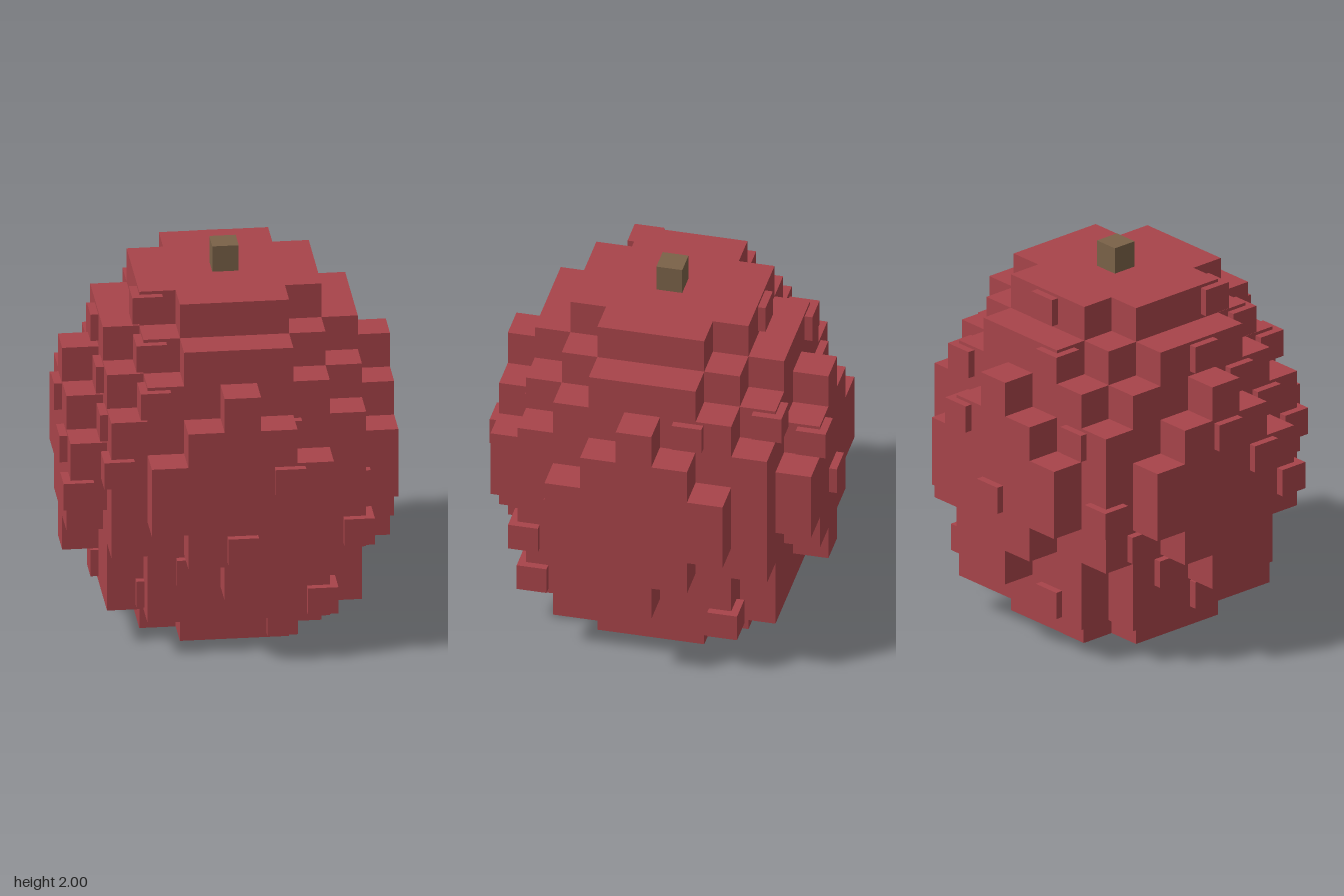
import * as THREE from 'three';

const CELL = 0.186;
const CX = 0.0175; // body sits slightly right of centre

// For each layer, bottom to top: half-width in cells for each row |z| = 0, 1, 2...
const END = [2, 2, 1], NEAR = [4, 3, 3, 2, 0], INNER = [4, 4, 3, 3, 1], MID = [4, 4, 4, 3, 2];
const LAYERS = [END, [3, 3, 3, 2], NEAR, INNER, MID, MID, INNER, NEAR, [3, 3, 2, 1], END];

const filled = (x, y, z) => {
  const half = LAYERS[y][Math.abs(z)];
  return half !== undefined && Math.abs(x) <= half;
};

// Stepped outline of one layer, extruded to one cell high
function layerGeometry(rows) {
  const m = rows.length - 1;
  const side = [];
  for (let z = -m; z <= m; z++) {
    const half = rows[Math.abs(z)];
    const x = (half + 0.5) * CELL;
    if (rows[Math.abs(z - 1)] !== half) side.push([x, (z - 0.5) * CELL]);
    if (rows[Math.abs(z + 1)] !== half) side.push([x, (z + 0.5) * CELL]);
  }
  const outline = [...side, ...side.map(([x, z]) => [-x, z]).reverse()];
  const shape = new THREE.Shape(outline.map(([x, z]) => new THREE.Vector2(x, z)));
  const geometry = new THREE.ExtrudeGeometry(shape, { depth: CELL, bevelEnabled: false });
  return geometry.rotateX(-Math.PI / 2);
}

export function createModel() {
  const model = new THREE.Group();
  model.name = 'blockFruit';
  const red = new THREE.MeshStandardMaterial({ color: 0xa8444a });
  red.name = 'fruit red';
  const brown = new THREE.MeshStandardMaterial({ color: 0x7a6248 });
  brown.name = 'stem brown';

  // Body of stacked stepped layers
  const body = new THREE.Group();
  body.name = 'body';
  LAYERS.forEach((rows, y) => {
    const layer = new THREE.Mesh(layerGeometry(rows), red);
    layer.name = 'bodyLayer';
    layer.position.set(CX, y * CELL, 0);
    body.add(layer);
  });
  model.add(body);

  // Small bumps on a diagonal lattice, pushed outward through the skin
  const bumps = new THREE.Group();
  bumps.name = 'bumps';
  const bumpGeometry = new THREE.BoxGeometry(0.156, 0.145, 0.156);
  for (let y = 0; y < LAYERS.length; y++) {
    for (let x = -4; x <= 4; x++) {
      for (let z = -4; z <= 4; z++) {
        if (!filled(x, y, z) || (y + z - 2 * x) % 7 !== 0) continue;
        const sx = Math.sign(x), sz = Math.sign(z);
        if (filled(x + sx, y, z) && filled(x, y, z + sz) && filled(x + sx, y, z + sz)) continue;
        const bump = new THREE.Mesh(bumpGeometry, red);
        bump.name = 'bump';
        bump.position.set(CX + x * CELL + sx * 0.055, (y + 0.5) * CELL + 0.004, z * CELL + sz * 0.055);
        bumps.add(bump);
      }
    }
  }
  model.add(bumps);

  // Stem
  const stem = new THREE.Mesh(new THREE.BoxGeometry(0.135, 0.14, 0.135), brown);
  stem.name = 'stem';
  stem.position.set(CX, 1.93, 0);
  model.add(stem);

  return model;
}
